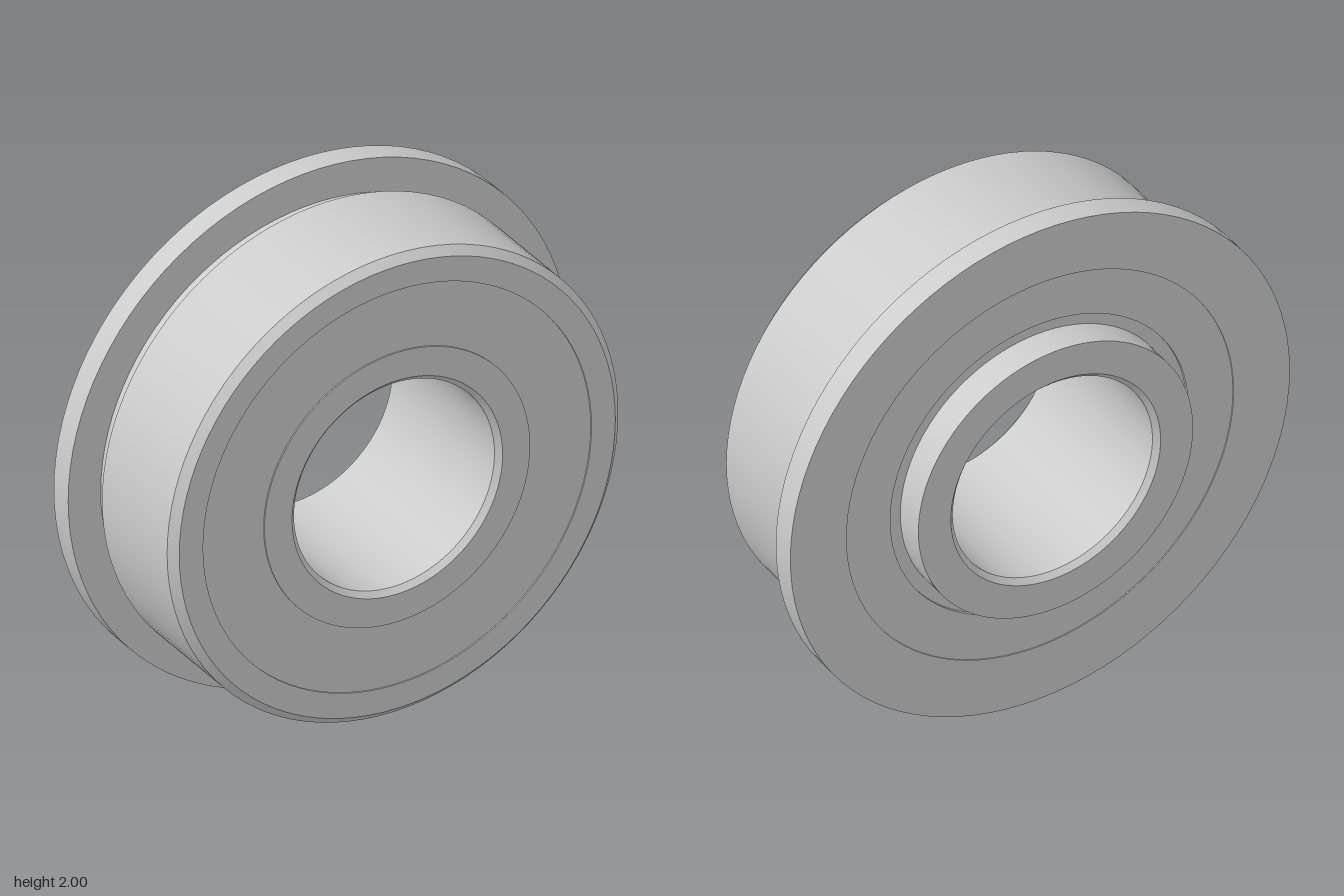
import * as THREE from 'three';
import { toCreasedNormals } from 'three/addons/utils/BufferGeometryUtils.js';

const material = new THREE.MeshStandardMaterial({ color: 0xcccccc });

// Closed ring turned about z from [radius, z] corners, listed counter-clockwise
function turned(name, corners) {
  const points = [...corners, corners[0]].map(([r, z]) => new THREE.Vector2(r, z));
  const geometry = new THREE.LatheGeometry(points, 96);
  geometry.rotateX(Math.PI / 2);
  const mesh = new THREE.Mesh(toCreasedNormals(geometry, Math.PI / 6), material);
  mesh.name = name;
  return mesh;
}

export function createModel() {
  const bearing = new THREE.Group();
  bearing.name = 'flangedBearing';

  // Outer ring: flange, relief groove and chamfered barrel
  bearing.add(turned('outerRing', [
    [0.775, -0.25], [1, -0.25], [1, -0.157], [0.87, -0.157], [0.87, -0.13],
    [0.9, -0.1], [0.9, 0.32], [0.87, 0.35], [0.775, 0.35],
  ]));

  // Inner ring: chamfered bore, with a hub standing out at the back
  bearing.add(turned('innerRing', [
    [0.42, -0.35], [0.49, -0.35], [0.49, -0.345], [0.53, -0.345], [0.53, 0.35],
    [0.42, 0.35], [0.4, 0.33], [0.4, -0.33],
  ]));

  // Collar around the hub
  bearing.add(turned('hubCollar', [
    [0.49, -0.35], [0.55, -0.35], [0.55, -0.235], [0.49, -0.235],
  ]));

  // Shields closing the space between the rings, just below the ring faces
  bearing.add(turned('frontShield', [
    [0.53, 0.32], [0.775, 0.32], [0.775, 0.345], [0.53, 0.345],
  ]));
  bearing.add(turned('backShield', [
    [0.53, -0.235], [0.597, -0.235], [0.597, -0.246], [0.775, -0.246],
    [0.775, -0.22], [0.53, -0.22],
  ]));

  bearing.position.y = 1;
  const model = new THREE.Group();
  model.add(bearing);
  return model;
}
